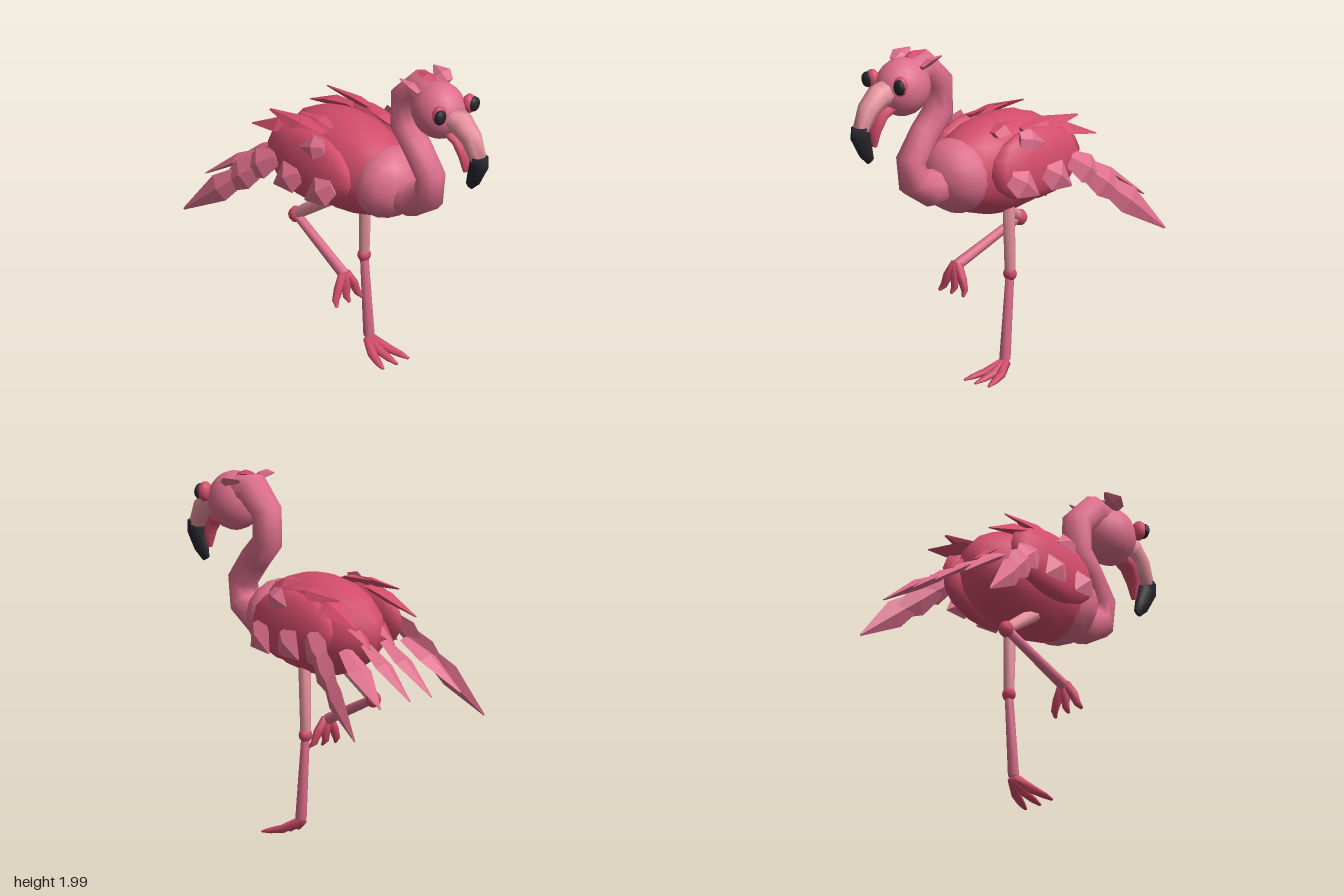
import * as THREE from 'three';

const V = (a) => new THREE.Vector3(...a);
const material = (color, flatShading = false) =>
  new THREE.MeshStandardMaterial({ color, flatShading });
const ROSE = 0xd34c6b, PINK = 0xdd6e8c, PALE = 0xe8939f, BLACK = 0x25242b;

// Loft of elliptical rings along a path; radii = [across, along hint] per point
function loft(path, radii, hint, sides) {
  const pts = path.map(V), h = V(hint), pos = [], idx = [], n = pts.length;
  pts.forEach((p, i) => {
    const t = pts[Math.min(i + 1, n - 1)].clone().sub(pts[Math.max(i - 1, 0)]).normalize();
    const a = h.clone().cross(t).normalize(), b = t.clone().cross(a);
    for (let j = 0; j < sides; j++) {
      const q = (j / sides) * Math.PI * 2;
      const v = p.clone().addScaledVector(a, Math.cos(q) * radii[i][0])
        .addScaledVector(b, Math.sin(q) * radii[i][1]);
      pos.push(v.x, v.y, v.z);
    }
  });
  for (let i = 0; i < n - 1; i++) for (let j = 0; j < sides; j++) {
    const a = i * sides + j, b = i * sides + (j + 1) % sides;
    idx.push(a, b, a + sides, b, b + sides, a + sides);
  }
  // end caps
  const last = (n - 1) * sides;
  for (let j = 1; j < sides - 1; j++) idx.push(0, j + 1, j, last, last + j, last + j + 1);
  const g = new THREE.BufferGeometry();
  g.setAttribute('position', new THREE.Float32BufferAttribute(pos, 3));
  g.setIndex(idx);
  g.computeVertexNormals();
  return g;
}

export function createModel() {
  const model = new THREE.Group();
  const add = (name, geometry, color, flat) => {
    const m = new THREE.Mesh(geometry, material(color, flat));
    m.name = name;
    model.add(m);
    return m;
  };
  const ball = (name, center, size, color, tilt = 0, w = 16, h = 12) => {
    const m = add(name, new THREE.SphereGeometry(1, w, h), color);
    m.position.set(...center);
    m.scale.set(...size);
    m.rotation.z = tilt;
    return m;
  };
  const rod = (name, a, b, r1, r2, color) =>
    add(name, loft([a, b], [[r1, r1], [r2, r2]], [0, 0, 1], 8), color);
  // Leaf-like feather with a diamond cross-section
  const feather = (name, base, tip, width, normal, color) => {
    const a = V(base), b = V(tip);
    const path = [0, 0.4, 1].map((t) => a.clone().lerp(b, t)
      .addScaledVector(V(normal), t === 0.4 ? width * 0.15 : 0).toArray());
    const r = [[width * 0.6, width * 0.25], [width, width * 0.42], [0.006, 0.004]];
    add(name, loft(path, r, normal, 4), color, true);
  };

  // Body, breast and wings
  ball('body', [-0.14, 1.23, 0], [0.47, 0.288, 0.255], ROSE, -0.04, 14, 10);
  ball('breast', [0.195, 1.21, 0], [0.178, 0.215, 0.225], PINK, -0.15, 12, 9);
  for (const s of [1, -1])
    ball('wing', [-0.19, 1.265, s * 0.255], [0.345, 0.205, 0.09], ROSE, -0.06, 10, 8).rotation.x = -s * 0.1;

  // S-shaped neck
  add('neck', loft(
    [[0.22, 1.18, 0], [0.39, 1.175, 0], [0.515, 1.235, 0], [0.535, 1.36, 0], [0.43, 1.5, 0],
      [0.325, 1.615, 0], [0.33, 1.79, 0], [0.45, 1.895, 0], [0.58, 1.87, 0]],
    [[0.12, 0.12], [0.108, 0.105], [0.092, 0.095], [0.085, 0.09], [0.085, 0.088],
      [0.088, 0.088], [0.088, 0.09], [0.1, 0.1], [0.1, 0.1]], [0, 0, 1], 10), PINK);

  // Head and hooked beak
  ball('head', [0.6, 1.805, 0], [0.17, 0.168, 0.148], PINK);
  add('beak', loft(
    [[0.7, 1.8, 0], [0.79, 1.78, 0], [0.87, 1.72, 0], [0.925, 1.61, 0]],
    [[0.08, 0.08], [0.075, 0.073], [0.062, 0.06], [0.049, 0.048]], [0, 0, 1], 8), PALE);
  add('beakTip', loft(
    [[0.932, 1.63, 0], [0.93, 1.57, 0], [0.89, 1.48, 0], [0.85, 1.42, 0]],
    [[0.053, 0.05], [0.062, 0.048], [0.05, 0.034], [0.028, 0.014]], [0, 0, 1], 8), BLACK);
  add('lowerBeak', loft(
    [[0.7, 1.71, 0], [0.77, 1.67, 0], [0.815, 1.59, 0], [0.82, 1.495, 0]],
    [[0.035, 0.06], [0.032, 0.055], [0.028, 0.045], [0.014, 0.016]], [0, 0, 1], 8), ROSE);

  for (const s of [1, -1]) {
    // Eyes
    ball('eyelid', [0.728, 1.85, s * 0.115], [0.038, 0.058, 0.045], ROSE, 0, 10, 8);
    ball('eye', [0.752, 1.85, s * 0.13], [0.026, 0.045, 0.04], BLACK, 0, 10, 8);
    // Crest side feathers
    feather('crestFeather', [0.56, 1.925, s * 0.11], [0.42, 1.975, s * 0.13], 0.056, [0, 0.9, -s * 0.4], PINK);
  }
  feather('crestFeather', [0.56, 1.965, 0], [0.43, 1.985, 0], 0.045, [0, 1, 0], ROSE);

  // Feathers, mirrored: name, base, tip, half width, outward normal, colour
  const feathers = [
    ['wingFeather', [-0.4, 1.26, 0.31], [-0.64, 1.08, 0.37], 0.09, [-0.1, 0.2, 0.97], PINK],
    ['wingFeather', [-0.48, 1.2, 0.33], [-0.8, 0.93, 0.42], 0.09, [0.1, 0.2, 0.97], PINK],
    ['wingFeather', [-0.6, 1.1, 0.37], [-0.98, 0.78, 0.48], 0.08, [0.2, 0.15, 0.95], PINK],
    ['sideFeather', [-0.19, 1.24, 0.33], [-0.365, 1.12, 0.365], 0.095, [0, 0.2, 0.97], PINK],
    ['sideFeather', [0.06, 1.24, 0.31], [-0.11, 1.11, 0.365], 0.095, [0, 0.2, 0.97], PINK],
    ['shoulderFeather', [-0.04, 1.43, 0.285], [-0.2, 1.39, 0.315], 0.07, [0, 0.35, 0.92], PINK],
    ['backFeather', [-0.12, 1.45, 0.22], [-0.55, 1.47, 0.22], 0.062, [0, 0.8, 0.55], ROSE],
    ['backFeather', [-0.32, 1.44, 0.2], [-0.69, 1.335, 0.225], 0.075, [-0.2, 0.9, 0.35], ROSE],
    ['tailCovert', [-0.44, 1.33, 0.07], [-0.66, 1.19, 0.09], 0.06, [-0.4, 0.9, 0], ROSE],
    ['tailFeather', [-0.6, 1.2, 0.07], [-0.99, 0.95, 0.08], 0.06, [-0.4, 0.9, 0], PINK],
    ['tailFeather', [-0.6, 1.19, 0.22], [-0.99, 0.94, 0.3], 0.075, [-0.4, 0.9, 0.1], PINK],
  ];
  for (const s of [1, -1]) for (const [name, a, b, w, n, c] of feathers) {
    const flip = (p) => [p[0], p[1], p[2] * s];
    feather(name, flip(a), flip(b), w, flip(n), c);
  }
  // Loose feathers on the back
  feather('looseFeather', [0.05, 1.45, -0.17], [-0.15, 1.495, -0.15], 0.06, [0, 0.9, -0.4], ROSE);
  feather('looseFeather', [-0.13, 1.46, 0.14], [-0.37, 1.495, 0.16], 0.055, [0, 0.9, 0.4], ROSE);

  // Standing leg
  rod('standingThigh', [-0.12, 1.05, -0.11], [-0.13, 0.6, -0.11], 0.036, 0.03, PALE);
  ball('standingKnee', [-0.13, 0.6, -0.11], [0.036, 0.042, 0.042], ROSE, 0, 8, 6);
  rod('standingShin', [-0.13, 0.6, -0.11], [-0.09, 0.11, -0.11], 0.024, 0.032, PINK);

  // Raised leg
  rod('raisedThigh', [-0.16, 1.02, 0.11], [-0.43, 0.83, 0.13], 0.042, 0.032, PALE);
  ball('raisedKnee', [-0.435, 0.825, 0.13], [0.042, 0.048, 0.045], ROSE, 0, 8, 6);
  rod('raisedShin', [-0.43, 0.825, 0.13], [0.01, 0.62, 0.175], 0.026, 0.032, PINK);

  // Three spread toes on each foot
  const toeR = [[0.026, 0.022], [0.024, 0.028], [0.016, 0.022], [0.006, 0.01]];
  for (const k of [-1, 0, 1]) {
    const x = k ? -0.01 : 0;
    add('standingToe', loft([[-0.09, 0.095, -0.11 + k * 0.015], [0, 0.042, -0.11 + k * 0.058],
      [0.08, 0.022, -0.11 + k * 0.085], [0.14 + x, 0.01, -0.11 + k * 0.098]], toeR, [0, 0, 1], 6), ROSE);
    add('raisedToe', loft([[0.012, 0.63, 0.175 + k * 0.015], [0.025, 0.55, 0.175 + k * 0.06],
      [0.03, 0.49, 0.175 + k * 0.085], [0.055, 0.463, 0.175 + k * 0.098]], toeR, [0, 0, 1], 6), ROSE);
  }
  return model;
}
